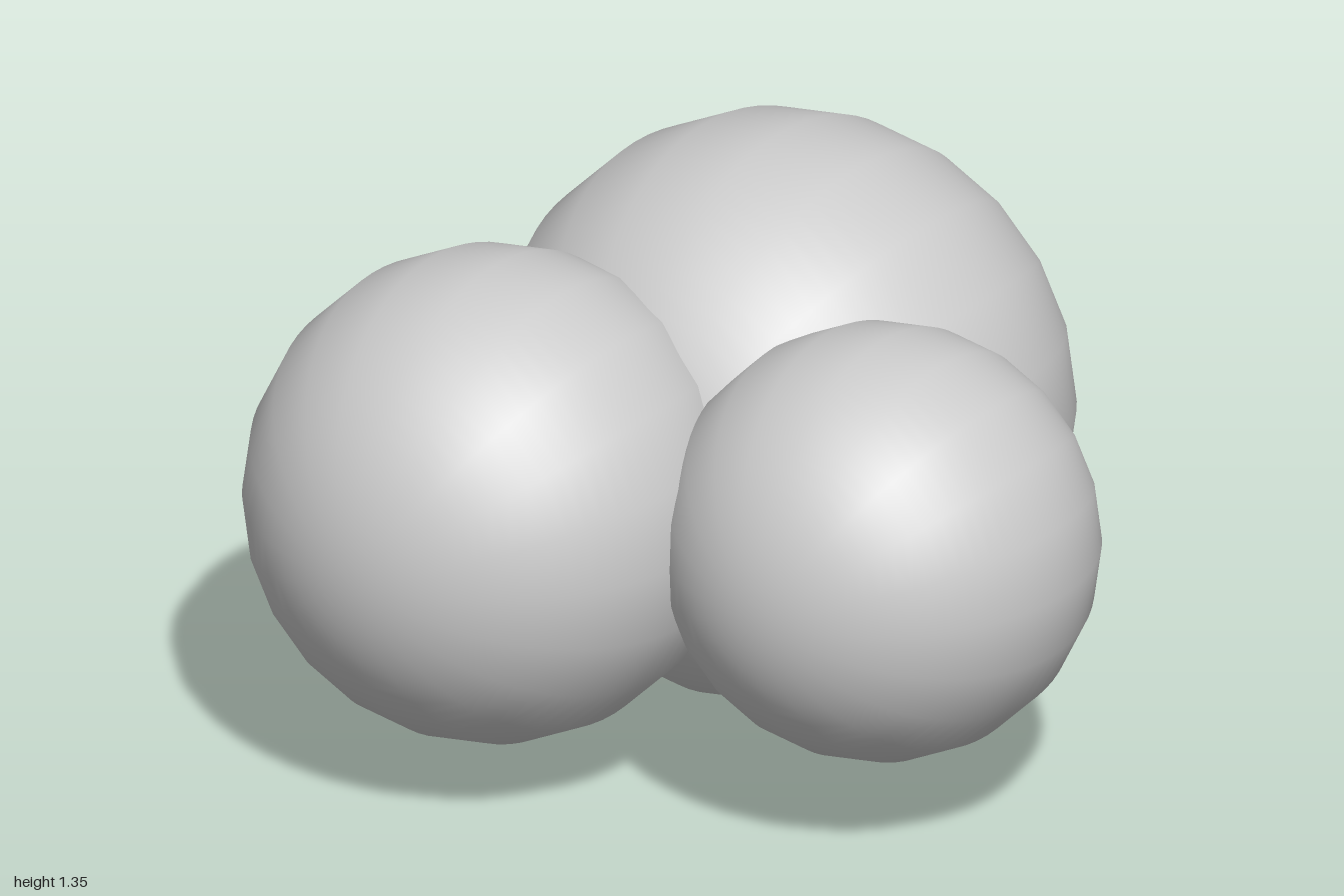
import * as THREE from 'three';

export function createModel() {
  const model = new THREE.Group();
  model.name = 'sphereCluster';
  const material = new THREE.MeshStandardMaterial({ color: 0xcccccc });

  // Three overlapping balls sharing one centre height, poles along z
  const height = 0.679;
  const balls = [
    { name: 'largeBackBall', radius: 0.677, x: -0.14, z: -0.322 },
    { name: 'mediumFrontBall', radius: 0.57, x: -0.4, z: 0.43 },
    { name: 'smallSideBall', radius: 0.502, x: 0.463, z: 0.135 },
  ];

  for (const { name, radius, x, z } of balls) {
    // 20 sides around the pole axis, finely divided from pole to pole
    const geometry = new THREE.SphereGeometry(radius, 20, 40).rotateX(Math.PI / 2);
    const ball = new THREE.Mesh(geometry, material);
    ball.name = name;
    ball.position.set(x, height, z);
    model.add(ball);
  }
  return model;
}
